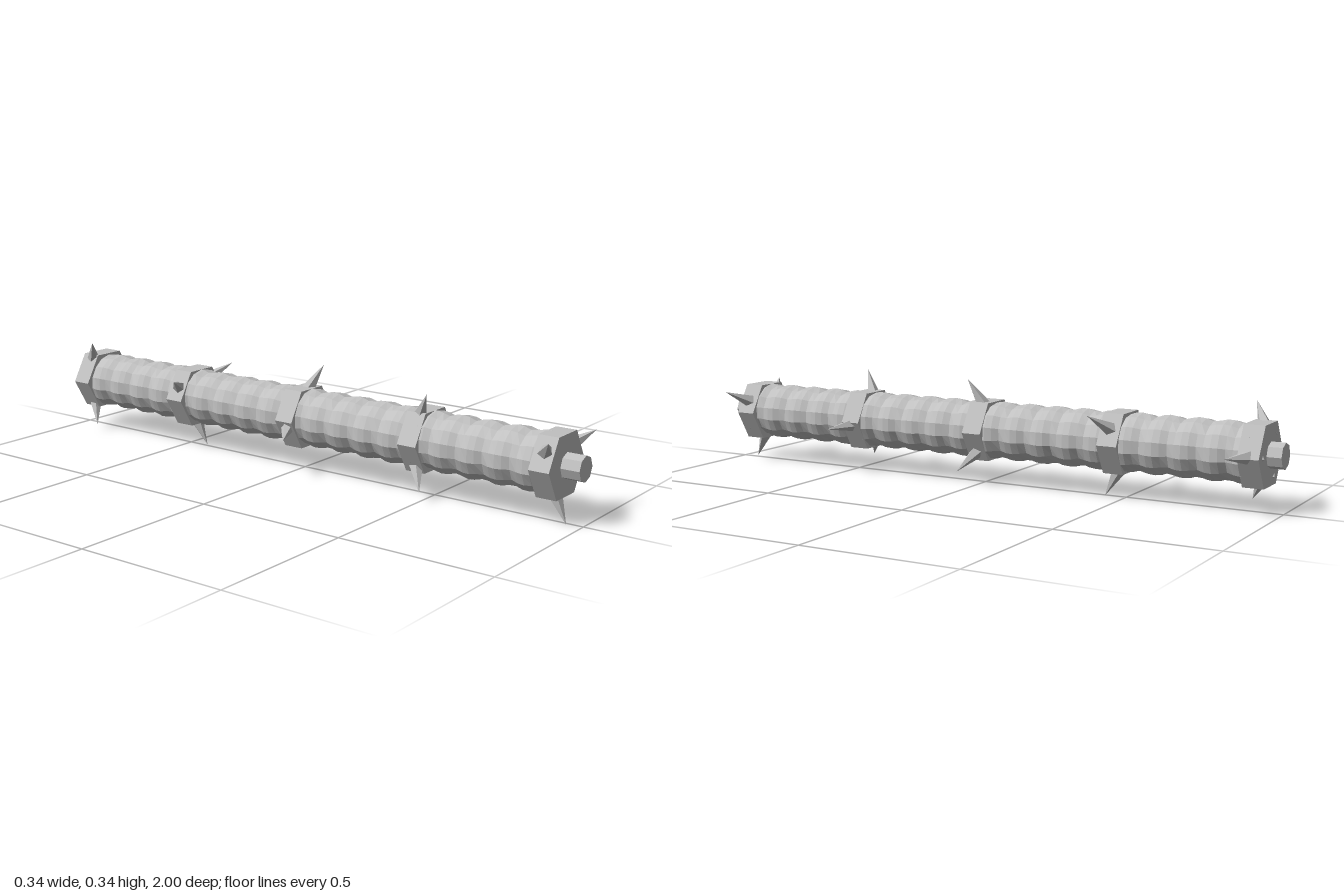
import * as THREE from 'three';

const CX = -0.002, CY = 0.177;

export function createModel() {
  const model = new THREE.Group();
  model.name = 'spikedRod';
  const grey = new THREE.MeshStandardMaterial({ color: 0xc0c0c0 });
  grey.name = 'light grey';

  // flat-faced mesh centred on the rod's axis
  const add = (geo, name, parent) => {
    const flat = geo.toNonIndexed();
    flat.computeVertexNormals();
    const mesh = new THREE.Mesh(flat, grey);
    mesh.name = name;
    parent.add(mesh);
    return mesh;
  };
  const rod = new THREE.Group();
  rod.name = 'rod';
  rod.position.set(CX, CY, 0);
  model.add(rod);

  // octagonal core, showing as a stub at each end
  add(new THREE.CylinderGeometry(0.04, 0.04, 2, 8).rotateX(Math.PI / 2), 'core', rod);

  // shaft with a rounded spiral ridge
  const pitch = 0.095;
  const shaft = new THREE.CylinderGeometry(0.09, 0.09, 1.83, 14, 80).rotateX(Math.PI / 2);
  const p = shaft.attributes.position;
  for (let i = 0; i < p.count; i++) {
    const x = p.getX(i), y = p.getY(i), z = p.getZ(i);
    if (Math.hypot(x, y) < 0.01) continue;
    const a = Math.atan2(y, x);
    const r = 0.083 + 0.012 * Math.abs(Math.sin(Math.PI * z / pitch + a / 2));
    p.setXY(i, r * Math.cos(a), r * Math.sin(a));
  }
  add(shaft, 'spiralShaft', rod);

  // hexagonal collars: z position and angle of the first of three spikes
  const collars = [[0.907, 26], [0.463, -6], [-0.005, 74], [-0.477, 33], [-0.922, 2]];
  const up = new THREE.Vector3(0, 1, 0);
  for (const [z, phase] of collars) {
    const collar = new THREE.Group();
    collar.name = 'collar';
    collar.position.z = z;
    rod.add(collar);
    add(new THREE.CylinderGeometry(0.108, 0.108, 0.066, 6)
      .rotateY(Math.PI / 6).rotateX(Math.PI / 2), 'hexRing', collar);

    // spikes lean towards the front
    for (let k = 0; k < 3; k++) {
      const a = THREE.MathUtils.degToRad(phase + 120 * k);
      const base = new THREE.Vector3(0.06 * Math.cos(a), 0.06 * Math.sin(a), -0.012);
      const tip = new THREE.Vector3(0.173 * Math.cos(a), 0.173 * Math.sin(a), 0.046);
      const dir = tip.clone().sub(base);
      const spike = add(new THREE.ConeGeometry(0.03, dir.length(), 5), 'spike', collar);
      spike.position.copy(base).add(tip).multiplyScalar(0.5);
      spike.quaternion.setFromUnitVectors(up, dir.normalize());
    }
  }
  return model;
}
